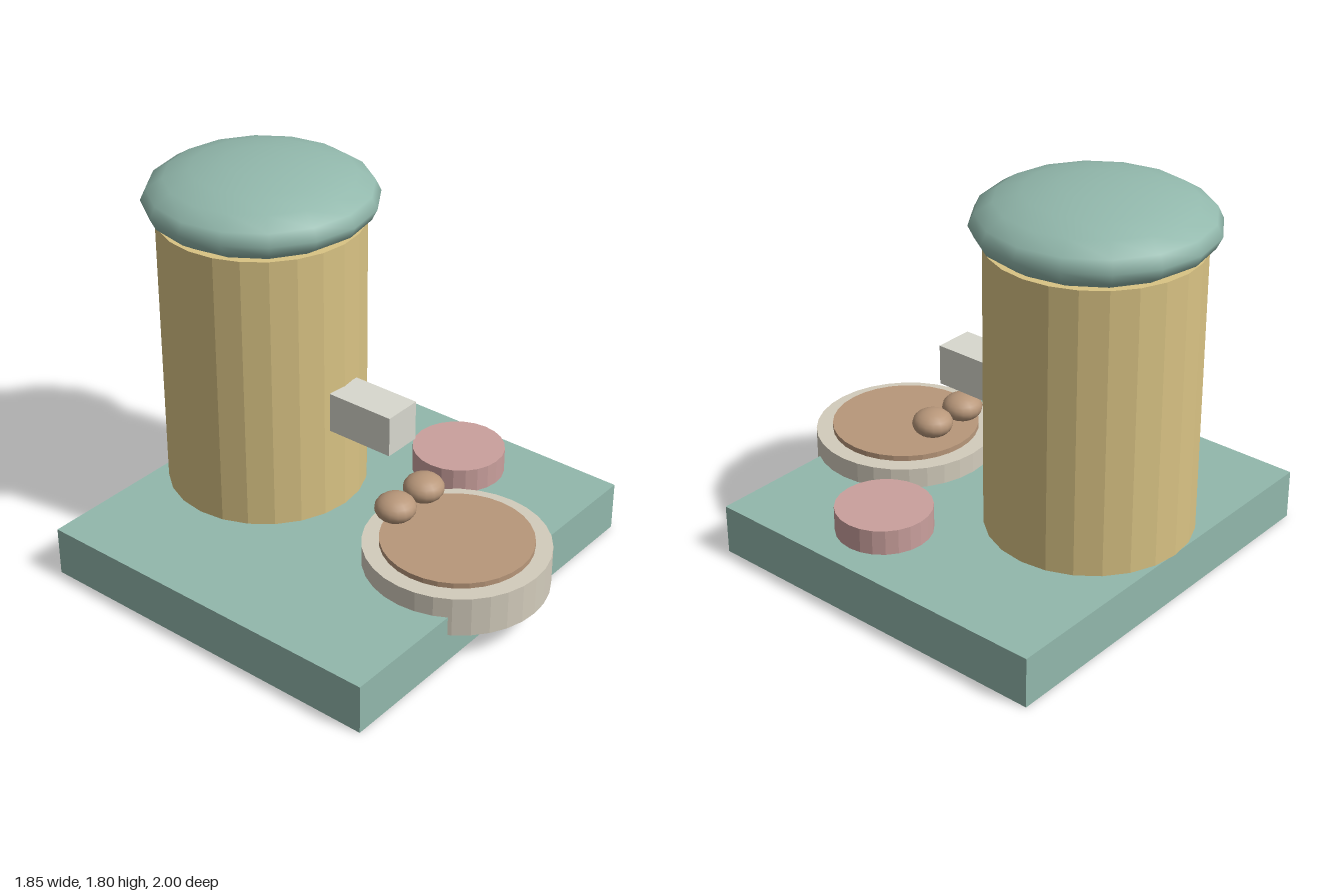
import * as THREE from 'three';

const TEAL = 0x92b8ac, YELLOW = 0xd9c384, PINK = 0xcaa09d;
const CREAM = 0xd3ccbc, BROWN = 0xb8977a, OFF_WHITE = 0xd8d8ce;

export function createModel() {
  const model = new THREE.Group();

  function add(name, geometry, color, x, y, z, flatShading = true) {
    const mesh = new THREE.Mesh(geometry, new THREE.MeshStandardMaterial({ color, flatShading }));
    mesh.name = name;
    mesh.position.set(x, y, z);
    model.add(mesh);
    return mesh;
  }

  // Upright disc or drum spanning bottom..top
  function drum(name, color, radius, bottom, top, x, z, sides) {
    const geometry = new THREE.CylinderGeometry(radius, radius, top - bottom, sides);
    return add(name, geometry, color, x, (bottom + top) / 2, z);
  }

  // Smooth squashed ball
  function ellipsoid(name, color, rx, ry, x, y, z, around, rings) {
    const geometry = new THREE.SphereGeometry(rx, around, rings).scale(1, ry / rx, 1);
    return add(name, geometry, color, x, y, z, false);
  }

  // Square base slab
  add('base', new THREE.BoxGeometry(1.85, 0.23, 1.71), TEAL, 0, 0.115, -0.055);

  // Tall body with its domed lid
  drum('body', YELLOW, 0.455, 0.26, 1.545, 0, -0.487, 24);
  ellipsoid('lid', TEAL, 0.512, 0.166, 0, 1.636, -0.487, 16, 10);

  // Spout on the front of the body
  add('spout', new THREE.BoxGeometry(0.182, 0.185, 0.325), OFF_WHITE, 0, 0.773, 0.122);

  // Dish overhanging the front edge, with its filling
  drum('dish', CREAM, 0.41, 0.14, 0.325, 0, 0.587, 32);
  drum('dishFilling', BROWN, 0.335, 0.27, 0.35, 0, 0.587, 32);

  // Two pellets falling from the spout
  for (const x of [-0.116, 0.083]) {
    ellipsoid('pellet', BROWN, 0.092, 0.062, x, 0.46, 0.342, 16, 12);
  }

  // Round button beside the dish
  drum('button', PINK, 0.213, 0.23, 0.345, 0.598, 0.155, 24);

  return model;
}
